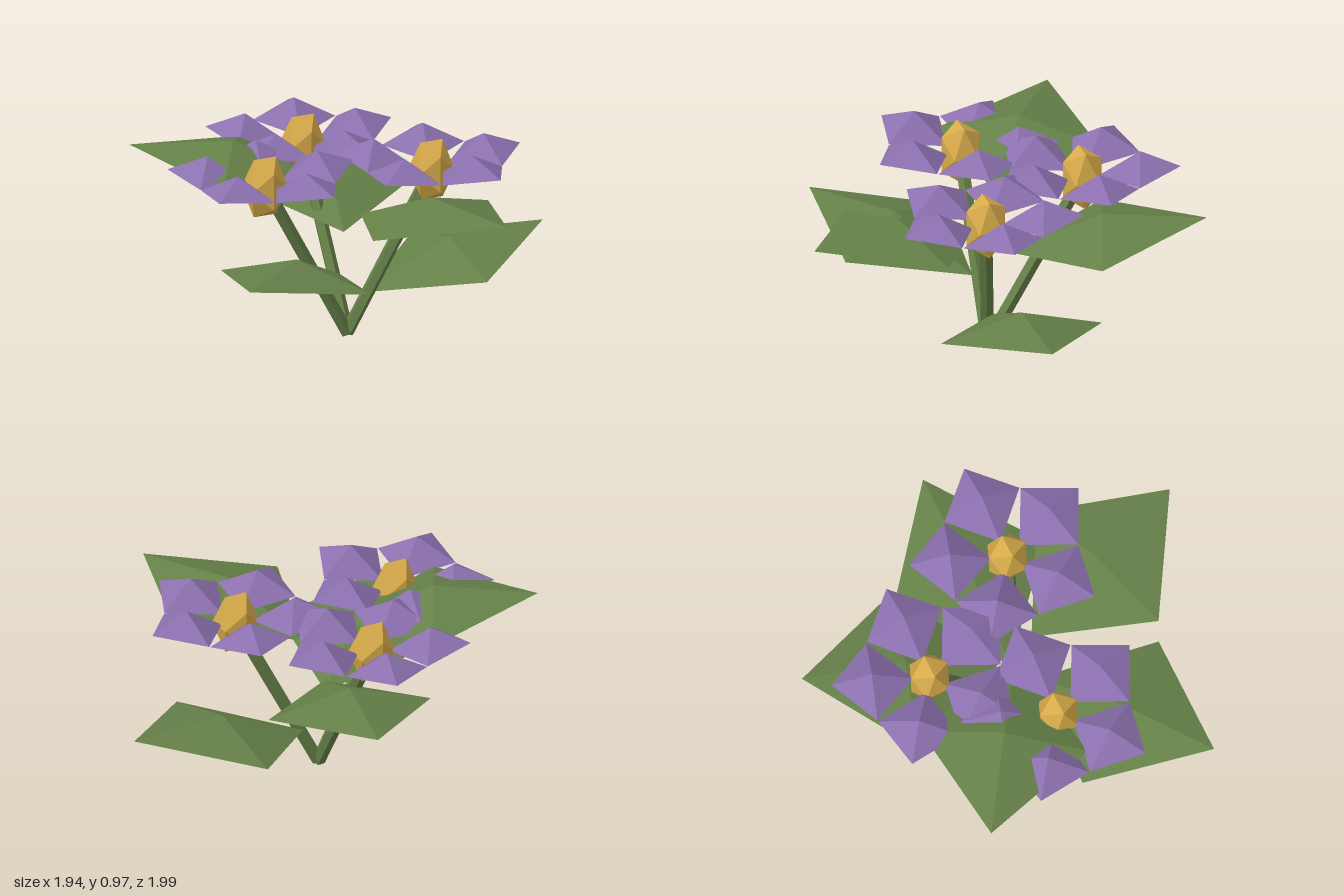
import * as THREE from 'three';

const flat = (name, color, side = THREE.FrontSide) => {
  const m = new THREE.MeshStandardMaterial({ color, side });
  m.name = name;
  m.flatShading = true;
  return m;
};

// Folded blade pointing along +x: four facets meeting at a raised point
function bladeGeometry({ start, mid, tip, half, baseY, tipY, peakY }) {
  const midY = baseY + (tipY - baseY) * (mid - start) / (tip - start);
  const g = new THREE.BufferGeometry();
  g.setAttribute('position', new THREE.Float32BufferAttribute([
    start, baseY, 0,
    mid, midY, half,
    tip, tipY, 0,
    mid, midY, -half,
    mid, peakY, 0,
  ], 3));
  g.setIndex([0, 1, 4, 1, 2, 4, 2, 3, 4, 3, 0, 4]);
  const out = g.toNonIndexed();
  out.computeVertexNormals();
  return out;
}

export function createModel() {
  const group = new THREE.Group();
  const purple = flat('petalPurple', 0x8b70ae, THREE.DoubleSide);
  const green = flat('leafGreen', 0x658048, THREE.DoubleSide);
  const yellow = flat('centreYellow', 0xd6aa4a);

  const add = (parent, name, geometry, material) => {
    const mesh = new THREE.Mesh(geometry, material);
    mesh.name = name;
    parent.add(mesh);
    return mesh;
  };

  const root = new THREE.Vector3(-0.09, 0.015, 0);
  const petal = bladeGeometry({
    start: 0.08, mid: 0.28, tip: 0.475, half: 0.2, baseY: 0.01, tipY: 0.062, peakY: 0.14,
  });

  // Three flowers, each on a slanted stem
  for (const [x, z] of [[-0.53, 0], [-0.09, -0.475], [0.3, 0.13]]) {
    const top = new THREE.Vector3(x, 0.825, z);
    const dir = top.clone().sub(root);
    const stem = add(group, 'stem', new THREE.CylinderGeometry(0.033, 0.033, dir.length(), 5), green);
    stem.position.copy(root).add(top).multiplyScalar(0.5);
    stem.quaternion.setFromUnitVectors(new THREE.Vector3(0, 1, 0), dir.normalize());

    const flower = new THREE.Group();
    flower.name = 'flower';
    flower.position.copy(top);
    group.add(flower);
    add(flower, 'flowerCentre', new THREE.IcosahedronGeometry(0.114, 0), yellow).scale.y = 1.5;
    for (let i = 0; i < 5; i++) {
      add(flower, 'petal', petal, purple).rotation.y = i * Math.PI * 2 / 5;
    }
  }

  // Five leaves spiralling round the root: angle, base, tip and peak heights
  const leaves = [
    [0, 0.205, 0.425, 0.42],
    [73, 0.495, 0.675, 0.695],
    [147, 0.785, 0.93, 0.97],
    [217.3, 0.345, 0.55, 0.56],
    [290.5, 0.64, 0.8, 0.835],
  ];
  for (const [angle, baseY, tipY, peakY] of leaves) {
    const geometry = bladeGeometry({
      start: 0.09, mid: 0.55, tip: 1.053, half: 0.405, baseY, tipY, peakY,
    });
    const leaf = add(group, 'leaf', geometry, green);
    leaf.position.set(root.x, 0, root.z);
    leaf.rotation.y = THREE.MathUtils.degToRad(angle);
  }

  return group;
}
